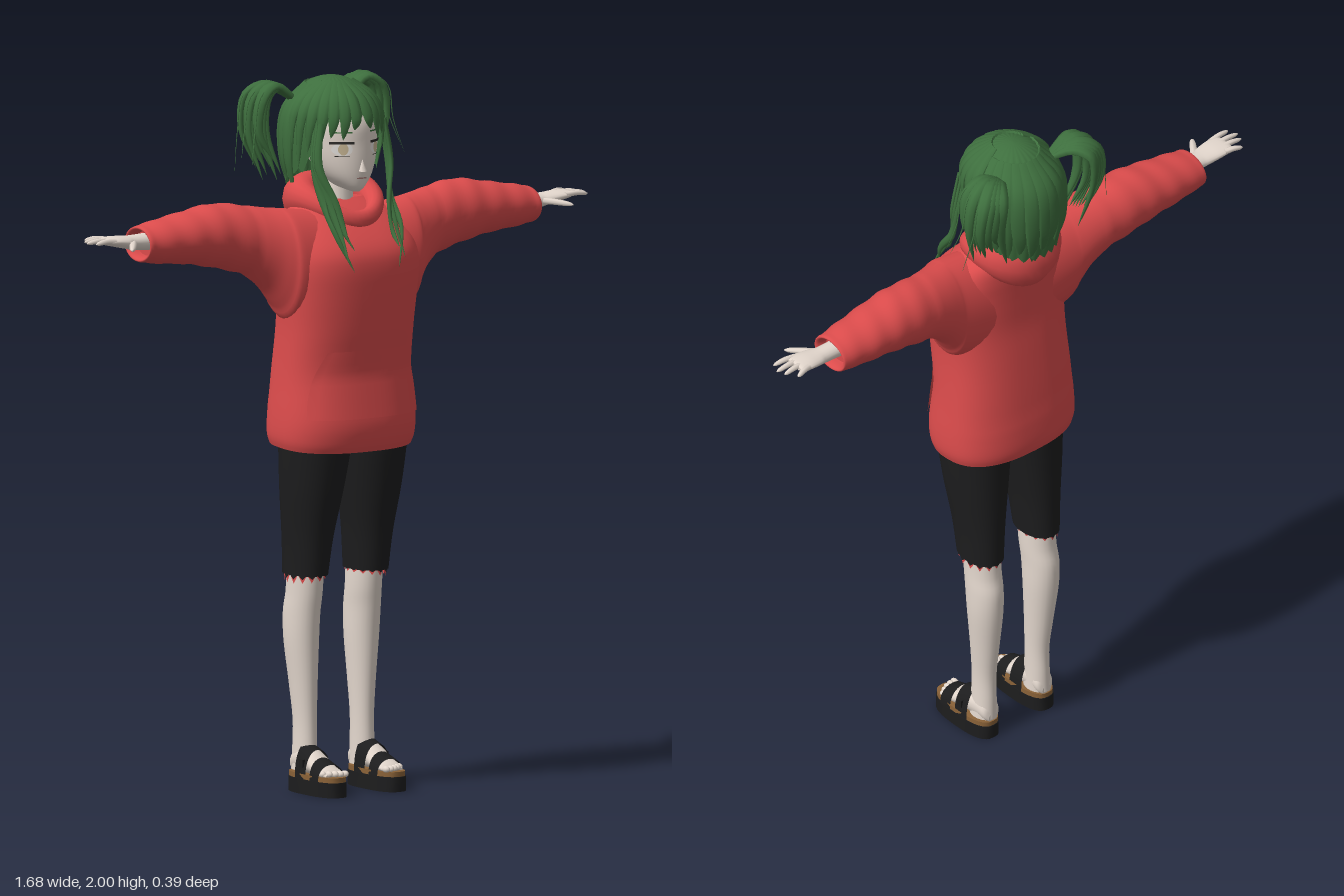
import * as THREE from 'three';

const mat = (name, color, side = THREE.FrontSide) => Object.assign(new THREE.MeshStandardMaterial({ color, side }), { name });
const V = (x, y, z) => new THREE.Vector3(x, y, z);
const TAU = Math.PI * 2;
const HEAD = V(0, 1.84, -0.03);

// Skin through rings of points; optional end caps; faces are turned outwards
function loft(rings, { caps = true, loop = false, openRing = false } = {}) {
  const n = rings[0].length, m = rings.length, pts = rings.flat(), idx = [];
  for (let i = 0; i < (loop ? m : m - 1); i++)
    for (let j = 0; j < (openRing ? n - 1 : n); j++) {
      const a = i * n + j, b = i * n + (j + 1) % n, c = ((i + 1) % m) * n + j, d = ((i + 1) % m) * n + (j + 1) % n;
      idx.push(a, b, c, b, d, c);
    }
  if (caps && !loop) [0, m - 1].forEach((k) => {
    const base = pts.length, mid = V(0, 0, 0);
    rings[k].forEach((p) => { pts.push(p.clone()); mid.addScaledVector(p, 1 / n); });
    pts.push(mid);
    for (let j = 0; j < n; j++) {
      const a = base + j, b = base + (j + 1) % n;
      k ? idx.push(a, b, base + n) : idx.push(b, a, base + n);
    }
  });
  const c = pts.reduce((s, p) => s.addScaledVector(p, 1 / pts.length), V(0, 0, 0));
  const q = pts.map((p) => p.clone().sub(c));
  let vol = 0;
  for (let i = 0; i < idx.length; i += 3) vol += q[idx[i]].dot(q[idx[i + 1]].clone().cross(q[idx[i + 2]]));
  if (vol < 0) idx.reverse();
  const g = new THREE.BufferGeometry().setFromPoints(pts);
  g.setIndex(idx);
  g.computeVertexNormals();
  return g;
}

// Rows are [position, aMin, aMax, bMin, bMax]; a and b are the two axes across
function refine(rows, k) {
  const out = [];
  for (let i = 0; i < rows.length - 1; i++)
    for (let s = 0; s < k; s++) {
      const t = s / k, r = [-1, 0, 1, 2].map((d) => rows[Math.min(rows.length - 1, Math.max(0, i + d))]);
      out.push(r[1].map((_, c) => {
        const [p0, p1, p2, p3] = r.map((x) => x[c]);
        return p1 + 0.5 * t * (p2 - p0 + t * (2 * p0 - 5 * p1 + 4 * p2 - p3 + t * (3 * (p1 - p2) + p3 - p0)));
      }));
    }
  return [...out, rows.at(-1)];
}
function body(rows, axis, { s = 1, n = 2, seg = 32, k = 4, adjust = (p) => p, ...opts } = {}) {
  return loft(refine(rows, k).map(([at, a0, a1, b0, b1]) => Array.from({ length: seg }, (_, j) => {
    const t = j / seg * TAU, sq = (v) => Math.sign(v) * Math.abs(v) ** (2 / n);
    const a = (a0 + a1) / 2 + (a1 - a0) / 2 * sq(Math.cos(t)), b = (b0 + b1) / 2 + (b1 - b0) / 2 * sq(Math.sin(t));
    const p = axis === 'y' ? V(a, at, b) : axis === 'x' ? V(at, a, b) : V(a, b, at);
    p.x *= s;
    return adjust(p);
  })), opts);
}

// Tapering strand along a curve, flat towards the given centre
function strand(points, w, h, { center = HEAD, steps = 12, blunt = false } = {}) {
  const curve = new THREE.CatmullRomCurve3(points);
  return loft(Array.from({ length: steps + 1 }, (_, i) => {
    const t = i / steps, p = curve.getPoint(t), T = curve.getTangent(t);
    const N = p.clone().sub(center); N.addScaledVector(T, -N.dot(T)).normalize();
    const B = T.clone().cross(N);
    const f = blunt ? Math.sqrt(1 - 0.95 * t ** 8) * (1 - 0.25 * t) : Math.max(0.02, Math.sin(Math.PI * (0.2 + 0.8 * t)) ** 0.7);
    return Array.from({ length: 7 }, (_, j) => p.clone()
      .addScaledVector(B, w * f * Math.cos(j / 7 * TAU)).addScaledVector(N, h * f * Math.sin(j / 7 * TAU)));
  }));
}

// Thin plate lying on the front of a body made from rows along y
function patch(rows, n, y0, y1, left, right, off) {
  const z = (x, y) => {
    let i = 0; while (i < rows.length - 2 && rows[i + 1][0] < y) i++;
    const t = (y - rows[i][0]) / (rows[i + 1][0] - rows[i][0]), [, , rx, b0, b1] = rows[i].map((v, c) => v + (rows[i + 1][c] - v) * t);
    return (b0 + b1) / 2 + (b1 - b0) / 2 * Math.max(0, 1 - Math.abs(x / rx) ** n) ** (1 / n) + off;
  };
  const g = new THREE.PlaneGeometry(1, 1, 16, 10), p = g.attributes.position;
  for (let i = 0; i < p.count; i++) {
    const v = p.getY(i) + 0.5, u = p.getX(i) + 0.5, y = y0 + (y1 - y0) * v, x = left(v) + (right(v) - left(v)) * u;
    p.setXYZ(i, x, y, z(x, y));
  }
  g.computeVertexNormals();
  return g;
}

const TORSO = [[0.97, -0.205, 0.205, -0.13, 0.155], [1.0, -0.213, 0.213, -0.135, 0.165], [1.06, -0.213, 0.213, -0.132, 0.17],
  [1.18, -0.204, 0.204, -0.12, 0.155], [1.3, -0.2, 0.2, -0.105, 0.172], [1.4, -0.205, 0.205, -0.092, 0.183],
  [1.48, -0.21, 0.21, -0.09, 0.187], [1.53, -0.205, 0.205, -0.09, 0.175], [1.58, -0.19, 0.19, -0.09, 0.135],
  [1.63, -0.15, 0.15, -0.085, 0.08], [1.66, -0.09, 0.09, -0.06, 0.04]];
const SLEEVE = [[0.08, 1.3, 1.63, -0.08, 0.13], [0.19, 1.33, 1.645, -0.082, 0.13], [0.22, 1.37, 1.648, -0.082, 0.115],
  [0.26, 1.425, 1.652, -0.085, 0.095], [0.32, 1.468, 1.662, -0.092, 0.076], [0.4, 1.49, 1.672, -0.1, 0.068],
  [0.46, 1.503, 1.666, -0.1, 0.065], [0.52, 1.513, 1.655, -0.098, 0.06], [0.58, 1.518, 1.645, -0.094, 0.054],
  [0.63, 1.525, 1.635, -0.088, 0.048], [0.66, 1.53, 1.628, -0.085, 0.045], [0.655, 1.54, 1.618, -0.075, 0.035], [0.63, 1.545, 1.613, -0.07, 0.03]];
const FACE = [[1.685, -0.012, 0.012, 0.075, 0.1], [1.7, -0.038, 0.038, 0, 0.113], [1.73, -0.068, 0.068, -0.04, 0.119],
  [1.77, -0.09, 0.09, -0.08, 0.121], [1.82, -0.103, 0.103, -0.11, 0.119], [1.88, -0.105, 0.105, -0.12, 0.114],
  [1.94, -0.08, 0.08, -0.09, 0.075], [1.965, -0.02, 0.02, -0.03, 0.02]];
const SHORTS = [[0.61, 0.048, 0.156, -0.085, 0.065], [0.72, 0.038, 0.163, -0.085, 0.083], [0.85, 0.018, 0.178, -0.085, 0.113],
  [0.97, 0.002, 0.187, -0.085, 0.134], [1.03, 0, 0.19, -0.085, 0.134]];
const LEG = [[0.06, 0.064, 0.132, -0.062, 0.025], [0.12, 0.066, 0.128, -0.061, 0.022], [0.2, 0.066, 0.127, -0.06, 0.02],
  [0.3, 0.062, 0.135, -0.072, 0.022], [0.42, 0.056, 0.147, -0.087, 0.027], [0.5, 0.055, 0.149, -0.089, 0.034],
  [0.56, 0.053, 0.147, -0.078, 0.042], [0.64, 0.053, 0.147, -0.074, 0.05]];
const FOOT = [[-0.06, 0.083, 0.113, 0.05, 0.08], [-0.05, 0.07, 0.126, 0.05, 0.11], [-0.02, 0.066, 0.132, 0.05, 0.13],
  [0.03, 0.064, 0.136, 0.05, 0.122], [0.08, 0.062, 0.138, 0.05, 0.09], [0.115, 0.063, 0.137, 0.05, 0.075], [0.13, 0.07, 0.13, 0.05, 0.065]];
const HAND = [[0.6, 1.56, 1.612, -0.046, 0.012], [0.68, 1.565, 1.608, -0.044, 0.012], [0.71, 1.572, 1.608, -0.05, 0.02],
  [0.745, 1.58, 1.61, -0.055, 0.024], [0.775, 1.587, 1.609, -0.056, 0.024], [0.787, 1.592, 1.606, -0.05, 0.018]];

// Point on the hair cap at an angle from the front and a height
function capPoint(a, y, off = 0) {
  const d = y - 1.84, f = d > 0 ? Math.sqrt(Math.max(0, 1 - (d / 0.157) ** 2)) : 1 - 4 * d * d;
  return V((0.132 * f + off) * Math.sin(a), y, -0.028 + ((Math.cos(a) > 0 ? 0.151 : 0.152) * f + off) * Math.cos(a));
}

export function createModel() {
  const root = new THREE.Group();
  const D = THREE.DoubleSide;
  const red = mat('red cloth', 0xdc4c4c, D), green = mat('green hair', 0x3e6f3e, D), skin = mat('pale skin', 0xe4d8ce),
    black = mat('black cloth', 0x1d1d1e, D), cork = mat('brown cork', 0x8a6238), white = mat('eye white', 0xf3efeb),
    iris = mat('pale iris', 0xc9b795), dark = mat('dark lash', 0x2c2a28), lip = mat('lip', 0xb98a84);
  const add = (name, geo, material, parent = root) => {
    const m = new THREE.Mesh(geo, material); m.name = name; parent.add(m); return m;
  };
  const group = (name) => { const g = new THREE.Group(); g.name = name; root.add(g); return g; };

  // Hoodie
  add('hoodieBody', body(TORSO, 'y', { n: 2.5, seg: 48, adjust: (p) => { if (p.y < 1.1) p.y += (0.06 - p.z) * 0.08; return p; } }), red);
  add('pouchPocket', patch(TORSO, 2.5, 1.06, 1.25, (v) => -0.185 + 0.05 * v * v, (v) => 0.185 - 0.05 * v * v, 0.007), red);
  add('hood', loft(Array.from({ length: 40 }, (_, i) => {
    const a = i / 40 * TAU, c = Math.cos(a), sn = Math.sin(a), b = (1 - c) / 2;
    const rr = 0.022 + 0.048 * b ** 1.5, ry = 0.028 + 0.06 * b * b;
    return Array.from({ length: 14 }, (_, j) => {
      const t = j / 14 * TAU, o = rr * Math.cos(t);
      return V((0.1 + o) * sn, 1.605 + 0.03 * b + 0.04 * sn * sn + ry * Math.sin(t), ((c > 0 ? 0.108 : 0.09) + o) * c);
    });
  }), { loop: true }), red);

  // Head and face
  add('head', body(FACE, 'y', { seg: 40 }), skin);
  add('neck', new THREE.CylinderGeometry(0.036, 0.045, 0.16, 20).translate(0, 1.66, 0.005), skin);
  add('nose', new THREE.ConeGeometry(0.012, 0.035, 8).scale(1, 1, 1.1).translate(0, 1.762, 0.122), skin);
  add('mouth', patch(FACE, 2, 1.723, 1.727, () => -0.016, () => 0.016, 0.003), lip);

  // Hair cap: short over the forehead, long at the back
  const cap = add('hairCap', loft(Array.from({ length: 19 }, (_, i) => Array.from({ length: 96 }, (_, j) => {
    const a = j / 96 * TAU, d = Math.min(a, TAU - a);
    const low = 1.9 - 0.16 * THREE.MathUtils.smoothstep(d, 0.6, 1.4) - 0.06 * THREE.MathUtils.smoothstep(d, 1.4, 2.6);
    return capPoint(a, 1.997 - (1.997 - low + 0.008 * Math.cos(a * 24)) * (1 - Math.cos(i / 18 * Math.PI / 2)), 0.002 * Math.cos(a * 24) * Math.min(1, i / 5));
  })), { caps: false }), green);
  cap.geometry.computeVertexNormals();
  const locks = group('hairLocks'), tails = group('pigtails');

  for (const s of [1, -1]) {
    const P = (x, y, z) => V(s * x, y, z);
    const side = s > 0 ? 'left' : 'right';

    // Bangs framing the face, then locks round the back
    for (let i = 0; i < 7; i++) {
      const a = 0.15 + i * 0.22, tip = 1.862 - 0.13 * (i / 6) ** 1.6 - (i % 2) * 0.02;
      add('bang', strand([capPoint(s * a * 0.8, 1.985, 0.002), capPoint(s * a, 1.94, 0.008), capPoint(s * a * 1.05, 1.89, 0.009),
        capPoint(s * (a * 1.1 + 0.04), tip, 0.004)], 0.02, 0.008), green, locks);
    }
    for (let i = 0; i < 6; i++) {
      const a = 1.7 + i * 0.27;
      add('backLock', strand([capPoint(s * a, 1.975, 0), capPoint(s * a, 1.9, 0.004), capPoint(s * a, 1.78, 0.005),
        capPoint(s * (a + 0.05), 1.665 + (i % 2) * 0.02, -0.005)], 0.027, 0.009, { steps: 16 }), green, locks);
    }
    // Long locks falling over the chest
    for (let i = 0; i < 3; i++)
      add('sideLock', strand([P(0.108, 1.88, 0.05 + i * 0.012), P(0.122, 1.76, 0.065 + i * 0.01), P(0.115 - i * 0.012, 1.66, 0.095 + i * 0.012),
        P(0.112 - i * 0.016, 1.58, 0.15), P(0.075 + (i % 2) * 0.02, 1.475 + i * 0.03, 0.193)], 0.013, 0.007, { steps: 20 }), green, locks);
    // Pigtail: a fan of locks arching out and down, with loose wisps
    for (let i = 0; i < 14; i++) {
      const u = i / 13, dz = ((i * 5) % 14 / 13 - 0.5) * 0.11, wisp = i > 10, w = wisp ? 0.003 : 0.021;
      add('pigtailLock', strand([P(0.085, 1.925, -0.075), P(0.135 + 0.03 * u, 1.978 - 0.015 * (1 - u), -0.105 + dz * 0.5),
        P(0.165 + 0.06 * u, 1.945, -0.12 + dz), P(0.17 + 0.075 * u, 1.85, -0.12 + dz),
        P(0.13 + 0.08 * u + (wisp ? 0.06 : 0), 1.71 + ((i * 3) % 5) * 0.015, -0.1 + dz)], w, w * 0.6, { center: P(0.13, 1.85, -0.1), steps: 16 }), green, tails);
    }

    // Eyes and brows
    const plate = (name, y0, y1, x0, x1, off, m, slope = 0) => {
      const mid = (x0 + x1) / 2, h = (x1 - x0) / 2;
      const e = (v) => h * (slope ? 1 : Math.sqrt(Math.max(0.1, 1 - (2 * v - 1) ** 2)));
      add(name, patch(FACE, 2, y0, y1, (v) => s * mid - e(v), (v) => s * mid + e(v), off), m);
    };
    plate('eyeWhite', 1.79, 1.826, 0.03, 0.078, 0.003, white);
    plate('iris', 1.792, 1.824, 0.042, 0.066, 0.005, iris);
    plate('upperLash', 1.822, 1.829, 0.027, 0.083, 0.007, dark, 1);
    plate('lowerLash', 1.787, 1.789, 0.038, 0.072, 0.005, dark, 1);
    plate('eyebrow', 1.852, 1.856, 0.03, 0.078, 0.004, green, 1);

    // Sleeve with soft folds, hand and fingers
    add(side + 'Sleeve', body(SLEEVE, 'x', { s, k: 5, adjust: (p) => {
      const x = Math.abs(p.x), f = x > 0.3 && x < 0.65 ? 1 + 0.022 * Math.sin(x * 75 + p.z * 18) : 1;
      p.y = 1.58 + (p.y - 1.58) * f; p.z = -0.018 + (p.z + 0.018) * f; return p;
    } }), red);
    const hand = group(side + 'Hand');
    add('palm', body(HAND, 'x', { s, seg: 20 }), skin, hand);
    [[-0.047, -0.062, 0.812], [-0.026, -0.03, 0.834], [-0.006, -0.006, 0.842], [0.014, 0.022, 0.83]].forEach(([z0, z1, x]) =>
      add('finger', strand([P(0.76, 1.599, z0), P((0.76 + x) / 2, 1.602, (z0 + z1) / 2), P(x, 1.598, z1)], 0.0095, 0.0085, { center: P(0.79, 1, 0), blunt: true }), skin, hand));
    add('thumb', strand([P(0.69, 1.588, 0), P(0.715, 1.585, 0.035), P(0.745, 1.58, 0.075)], 0.012, 0.01, { center: P(0.7, 1, 0), blunt: true }), skin, hand);

    // Shorts with a ragged hem over a torn red lining
    add(side + 'ShortsLeg', body(SHORTS, 'y', { s, n: 2.2 }), black);
    const hem = (name, r, drop, m) => add(name, loft([0, 1].map((k) => Array.from({ length: 28 }, (_, j) => {
      const t = j / 28 * TAU;
      return P(0.102 + 0.054 * r * Math.cos(t), 0.615 - k * (j % 2 ? drop * (0.75 + 0.25 * Math.cos(t)) : 0.002), -0.01 + 0.075 * r * Math.sin(t));
    })), { caps: false }), m);
    hem('raggedHem', 0.99, 0.016, black);
    hem('tornLining', 0.95, 0.028, red);

    // Leg, foot and toes
    add(side + 'Leg', body(LEG, 'y', { s, seg: 24 }), skin);
    add(side + 'Foot', body(FOOT, 'z', { s, seg: 20 }), skin);
    for (let i = 0; i < 5; i++)
      add('toe', new THREE.SphereGeometry(0.0095, 10, 8).scale(1, 1, 1.5).translate(s * (0.07 + i * 0.0148), 0.063, 0.136 - i * i * 0.0015), skin);

    // Sandal: black sole, cork footbed and two broad straps
    const sole = (name, y0, y1, inset, m) => add(name, body([[y0, 0.054 + inset, 0.146 - inset, -0.066 + inset, 0.16 - inset],
      [y1, 0.054 + inset, 0.146 - inset, -0.066 + inset, 0.16 - inset]], 'y', { s, n: 2.7, k: 1 }), m);
    sole('sandalSole', 0, 0.042, 0, black);
    sole('corkFootbed', 0.042, 0.056, 0.002, cork);
    [[0.07, 0.112, 0.103, 0.087], [0.0, 0.05, 0.14, 0.122]].forEach(([z0, z1, h0, h1]) =>
      add('sandalStrap', loft([0, 0.5, 1].map((t) => Array.from({ length: 17 }, (_, j) => {
        const a = j / 16 * Math.PI;
        return P(0.1 + 0.044 * Math.cos(a), 0.04 + (h0 + (h1 - h0) * t - 0.04) * Math.sin(a) ** 0.8, z0 + (z1 - z0) * t);
      })), { caps: false, openRing: true }), black));
    add('strapBuckle', new THREE.BoxGeometry(0.008, 0.022, 0.018).translate(s * 0.141, 0.085, 0.03), black);
  }
  return root;
}
